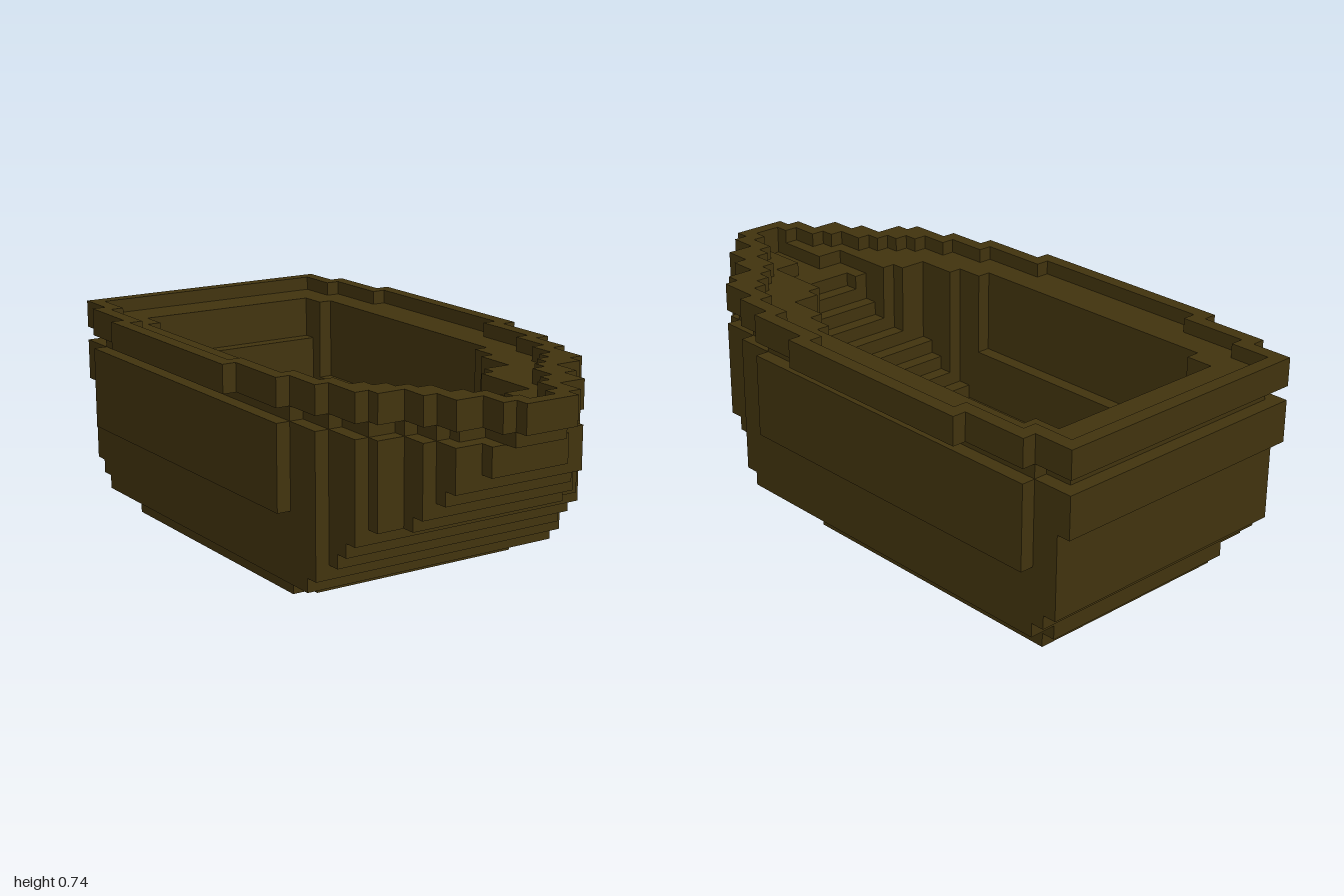
import * as THREE from 'three';

const U = 2 / 43; // one block of the stepped hull

// Plans: [end z, half width] sections, in blocks from the stern (z = 0) to the bow (z = 43)
const RIM = [[3, 10], [8, 11], [24, 12], [29, 11], [32, 10], [35, 9], [36, 8], [38, 6], [40, 5], [42, 3], [43, 2]];
const RIM_INSIDE = [[4, 9], [9, 10], [23, 11], [28, 10], [31, 9], [33, 8], [34, 7], [35, 6], [36, 5], [38, 4], [39, 3], [41, 2], [42, 1]];
const NECK = [[3, 9], [29, 10], [32, 9], [35, 8], [36, 6], [38, 5], [39, 4], [42, 2]];
const WELL = [[6, 7], [26, 8], [28, 7], [31, 6], [32, 4], [34, 3], [35, 2]];
const WELL_TOP = [[6, 7], [26, 8], [28, 7], [31, 6], [32, 4], [37, 3], [42, 1]];

// Mirrored stepped outline, cut to z0..z1 and to a largest half width, counter-clockwise
function outline(plan, z0, z1, maxHalf) {
  const side = [];
  let start = z0;
  for (const [end, half] of plan) {
    const stop = Math.min(end, z1);
    if (stop <= start) continue;
    const w = Math.min(half, maxHalf);
    const last = side[side.length - 1];
    if (last && last[0] === w) last[1] = stop;
    else side.push([w, start], [w, stop]);
    start = stop;
  }
  const loop = [...side.map(([w, z]) => [-w, z]), ...side.reverse()];
  return loop.map(([x, z]) => new THREE.Vector2(x * U, (21.5 - z) * U));
}

export function createModel() {
  const group = new THREE.Group();
  const wood = new THREE.MeshStandardMaterial({ color: 0x42340e });
  wood.name = 'darkWood';

  // One horizontal slab between y0 and y1, with an optional opening
  function slab(name, y0, y1, outer, inner) {
    const shape = new THREE.Shape(outer);
    if (inner) shape.holes.push(new THREE.Path(inner));
    const geo = new THREE.ExtrudeGeometry(shape, { depth: (y1 - y0) * U, bevelEnabled: false });
    geo.rotateX(-Math.PI / 2);
    geo.translate(0, y0 * U, 0);
    const mesh = new THREE.Mesh(geo, wood);
    mesh.name = name;
    group.add(mesh);
  }

  // Opening of the well at one level: a stair at the bow, small treads at the sides and stern
  const wellAt = (y) => outline(WELL, y < 5 ? 6 : y < 12 ? 5 : 4, 22 + y, y < 5 ? 6 : y < 9 ? 7 : 8);

  // Solid bottom
  slab('keelPlate', 0, 1, outline(RIM, 4, 26, 8));
  slab('bottomPlate', 1, 2, outline(RIM, 3, 29, 8));
  slab('lowerFloor', 2, 3, outline(RIM, 3, 31, 10));
  slab('floor', 3, 4, outline(RIM, 2, 32, 10));

  // Hull courses, each reaching further forward
  const bowEnds = [33, 34, 35, 37, 38, 39, 40, 41, 41];
  bowEnds.forEach((bow, i) => {
    const y = 4 + i;
    const outer = outline(RIM, y < 10 ? 1 : 0, bow, y < 7 ? 10 : 11);
    slab('hullCourse' + (i + 1), y, y + 1, outer, wellAt(y));
  });

  // Recessed neck under the rim
  slab('neck', 13, 14, outline(NECK, 1, 42, 10), wellAt(13));

  // Overhanging deck, with a raised lip around its edge
  slab('deck', 14, 15, outline(RIM, 0, 43, 12), outline(WELL_TOP, 4, 42, 8));
  slab('lip', 15, 16, outline(RIM, 0, 43, 12), outline(RIM_INSIDE, 1, 42, 11));

  return group;
}
